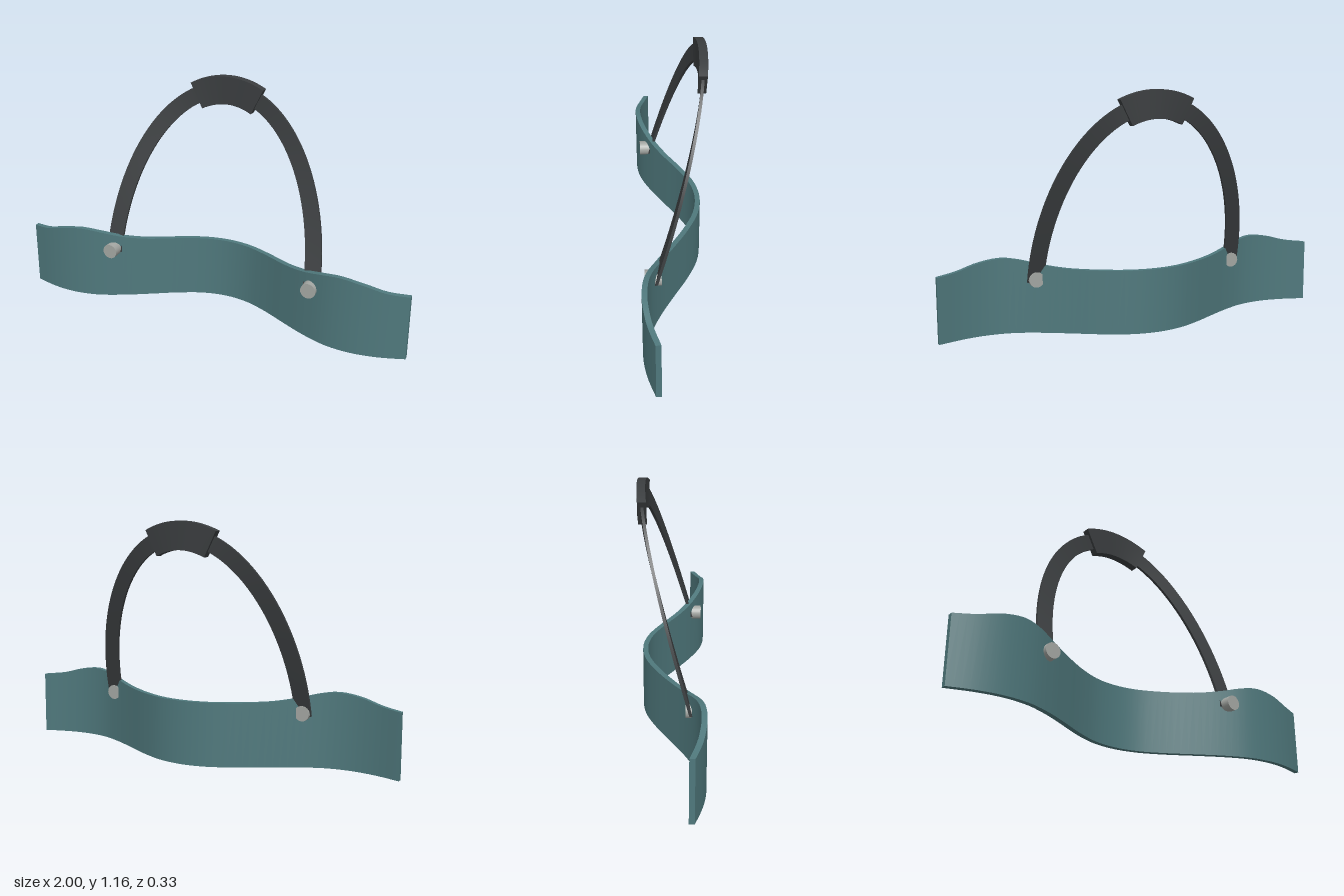
import * as THREE from 'three';
import { toCreasedNormals } from 'three/addons/utils/BufferGeometryUtils.js';

// Solid swept through four-cornered sections, with capped ends.
// Corners: front bottom, front top, back top, back bottom; sections run towards +x.
function loft(sections) {
  const index = [];
  const last = (sections.length - 1) * 4;
  for (let i = 0; i < last; i += 4) {
    for (let j = 0; j < 4; j++) {
      const k = (j + 1) % 4;
      index.push(i + j, i + 4 + j, i + 4 + k, i + j, i + 4 + k, i + k);
    }
  }
  index.push(0, 1, 2, 0, 2, 3, last, last + 2, last + 1, last, last + 3, last + 2);
  const geo = new THREE.BufferGeometry();
  geo.setAttribute('position', new THREE.Float32BufferAttribute(sections.flat(2), 3));
  geo.setIndex(index);
  return toCreasedNormals(geo, 0.6);
}

// Smooth curve through [x, value] points, mirrored about x = 0
function profile(points) {
  const all = [...points.slice(1).reverse().map(([x, v]) => [-x, v]), ...points];
  return new THREE.SplineCurve(all.map(([x, v]) => new THREE.Vector2(x, v)));
}

// Value of a profile at x, found by bisection
function valueAt(curve, x) {
  let lo = 0, hi = 1;
  for (let i = 0; i < 30; i++) {
    const mid = (lo + hi) / 2;
    if (curve.getPoint(mid).x < x) lo = mid; else hi = mid;
  }
  return curve.getPoint(lo).y;
}

// Wavy band standing on the ground
function bandGeometry() {
  const wave = profile([[0, -0.132], [0.125, -0.113], [0.25, -0.058], [0.375, 0.014],
    [0.5, 0.083], [0.625, 0.135], [0.75, 0.152], [0.875, 0.138], [1, 0.101]]);
  const rim = profile([[0, 0.312], [0.15, 0.312], [0.3, 0.313], [0.4, 0.318], [0.5, 0.334],
    [0.6, 0.358], [0.69, 0.369], [0.8, 0.354], [0.9, 0.328], [1, 0.317]]);
  const sections = [];
  const n = 64, half = 0.0125;
  for (let i = 0; i <= n; i++) {
    const x = -1 + (2 * i) / n;
    const z = valueAt(wave, x), top = valueAt(rim, x);
    const slope = (valueAt(wave, x + 0.01) - valueAt(wave, x - 0.01)) / 0.02;
    const d = i === 0 || i === n ? half : half * Math.hypot(1, slope);
    sections.push([[x, 0, z + d], [x, top, z + d], [x, top, z - d], [x, 0, z - d]]);
  }
  return loft(sections);
}

// Flat strip along the leaning elliptical arch, between two angles
function archGeometry(from, to, halfWidth, halfDepth, n) {
  const a = 0.53, b = 0.847, y0 = 0.25;
  const sections = [];
  for (let i = 0; i <= n; i++) {
    const t = from + ((to - from) * i) / n;
    const c = Math.cos(t), s = Math.sin(t);
    const normal = new THREE.Vector2(c / a, s / b).normalize().multiplyScalar(halfWidth);
    const x = a * c, y = y0 + b * s, z = 0.095 - 0.238 * s;
    const inner = [x - normal.x, y - normal.y], outer = [x + normal.x, y + normal.y];
    sections.push([[...inner, z + halfDepth], [...outer, z + halfDepth],
      [...outer, z - halfDepth], [...inner, z - halfDepth]]);
  }
  return loft(sections);
}

export function createModel() {
  const group = new THREE.Group();
  const teal = new THREE.MeshStandardMaterial({ color: 0x4f787c });
  const dark = new THREE.MeshStandardMaterial({ color: 0x3a3d3f });
  const metal = new THREE.MeshStandardMaterial({ color: 0xa3a6a2 });

  const add = (name, geometry, material) => {
    const mesh = new THREE.Mesh(geometry, material);
    mesh.name = name;
    group.add(mesh);
    return mesh;
  };

  add('band', bandGeometry(), teal);
  add('handleStrap', archGeometry(Math.PI, 0, 0.04, 0.007, 64), dark);

  // Thicker grip over the crown of the arch
  const spread = 0.302;
  add('grip', archGeometry(Math.PI / 2 + spread, Math.PI / 2 - spread, 0.068, 0.02, 16), dark);

  // Bolts joining the strap to the band
  for (const side of [-1, 1]) {
    const bolt = add(side > 0 ? 'leftBolt' : 'rightBolt',
      new THREE.CylinderGeometry(0.037, 0.037, 0.077, 24), metal);
    bolt.rotation.x = Math.PI / 2;
    bolt.position.set(side * 0.53, 0.264, 0.1085);
  }
  return group;
}
